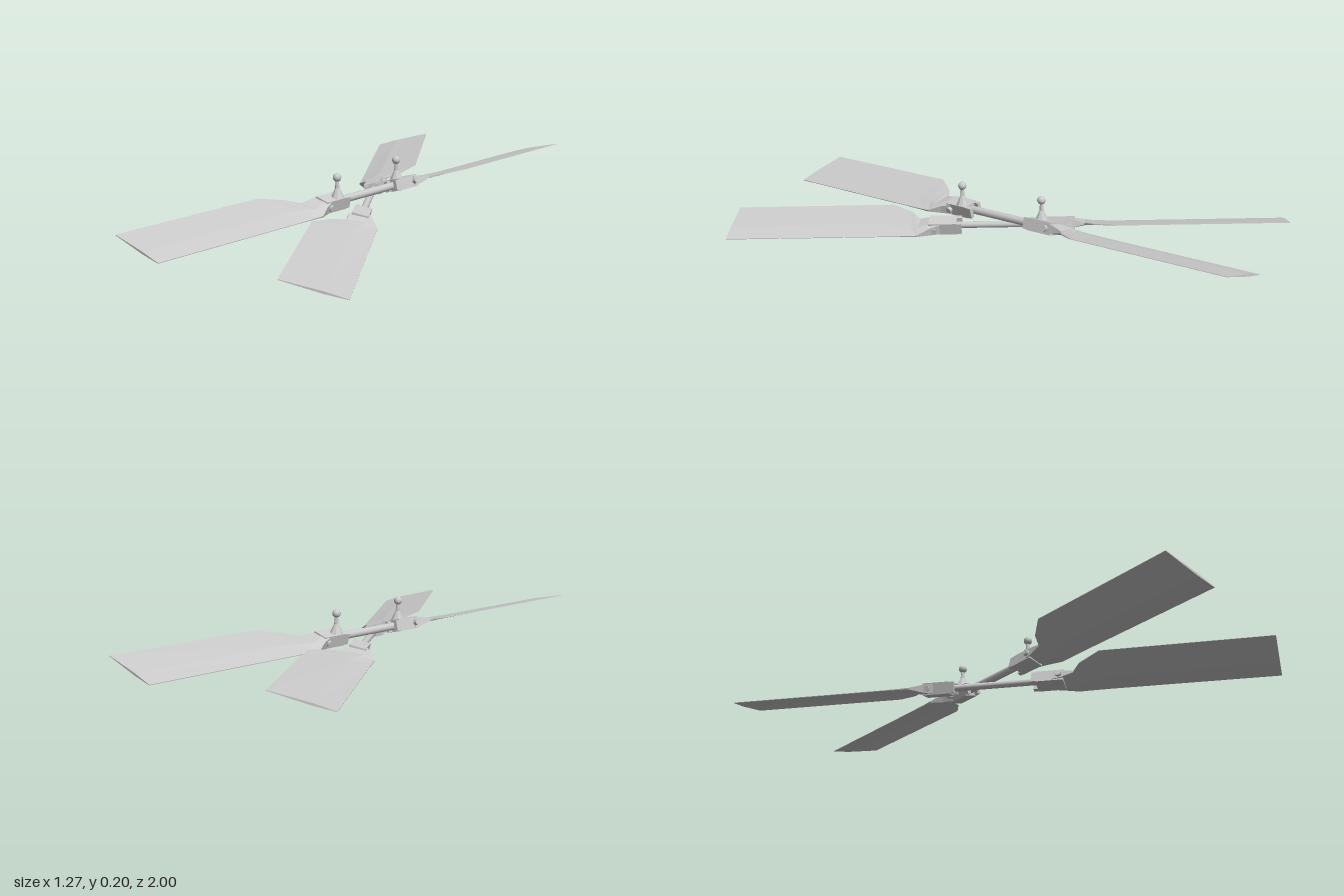
import * as THREE from 'three';

const grey = new THREE.MeshStandardMaterial({ color: 0xcccccc, flatShading: true });
const smooth = new THREE.MeshStandardMaterial({ color: 0xcccccc });

function add(parent, name, geometry, x = 0, y = 0, z = 0, material = grey) {
  const mesh = new THREE.Mesh(geometry, material);
  mesh.name = name;
  mesh.position.set(x, y, z);
  parent.add(mesh);
  return mesh;
}

// Blade lofted outward along z. Station: z, left x, right x, edge half thickness, middle half thickness
function bladeGeometry() {
  const stations = [
    [0.22, -0.031, 0.031, 0.019, 0.02],
    [0.255, -0.034, 0.045, 0.014, 0.018],
    [0.298, -0.04, 0.07, 0.003, 0.011],
    [0.33, -0.085, 0.07, 0.002, 0.008],
    [0.41, -0.14, 0.07, 0.001, 0.006],
    [0.995, -0.14, 0.07, 0.001, 0.004],
  ];
  const pos = [], index = [], n = 6;
  for (const [z, l, r, e, t] of stations) {
    const m = l + (r - l) * 0.65;
    pos.push(r, e, z, m, t, z, l, e, z, l, -e, z, m, -t, z, r, -e, z);
  }
  for (let s = 0; s < stations.length - 1; s++) {
    for (let i = 0; i < n; i++) {
      const a = s * n + i, b = s * n + (i + 1) % n;
      index.push(a, b, b + n, a, b + n, a + n);
    }
  }
  // End caps
  const last = (stations.length - 1) * n;
  for (let i = 1; i < n - 1; i++) {
    index.push(0, i + 1, i, last, last + i, last + i + 1);
  }
  const g = new THREE.BufferGeometry();
  g.setAttribute('position', new THREE.Float32BufferAttribute(pos, 3));
  g.setIndex(index);
  g.computeVertexNormals();
  return g;
}

// One blade with its grip, pivot bolt and optional control horn
function buildArm(gripStart, hasHorn) {
  const arm = new THREE.Group();
  arm.name = 'bladeArm';
  const pitched = new THREE.Group();
  pitched.name = 'pitchedBlade';
  pitched.rotation.z = -0.255;
  arm.add(pitched);
  add(pitched, 'blade', bladeGeometry());
  add(pitched, 'grip', new THREE.BoxGeometry(0.058, 0.044, 0.1), 0, 0, gripStart + 0.06);

  // Fork cheeks around the end of the rod
  for (const s of [-1, 1]) {
    add(pitched, 'forkCheek', new THREE.BoxGeometry(0.014, 0.04, 0.03), s * 0.022, 0, gripStart + 0.008);
  }
  const bolt = add(pitched, 'pivotBolt', new THREE.CylinderGeometry(0.011, 0.011, 0.084, 10), 0, 0, gripStart + 0.093);
  bolt.rotation.z = Math.PI / 2;

  if (hasHorn) {
    add(arm, 'hornBase', new THREE.CylinderGeometry(0.008, 0.025, 0.035, 8), 0.015, 0.033, 0.172);
    add(arm, 'hornStem', new THREE.CylinderGeometry(0.005, 0.008, 0.04, 8), 0.015, 0.066, 0.172);
    add(arm, 'hornBall', new THREE.SphereGeometry(0.015, 14, 10), 0.015, 0.088, 0.172, smooth);
  }
  return arm;
}

// Two opposite arms on a shared rod
function buildRotor(name, height, yaw, tilt, gripStart, rodRadius, hasHorn) {
  const rotor = new THREE.Group();
  rotor.name = name;
  rotor.position.y = height;
  rotor.rotation.set(tilt, yaw, 0, 'YXZ');
  const rod = add(rotor, 'rod', new THREE.CylinderGeometry(rodRadius, rodRadius, gripStart * 2 + 0.04, 12), 0, 0, 0, smooth);
  rod.rotation.x = Math.PI / 2;
  for (const turn of [0, Math.PI]) {
    const arm = buildArm(gripStart, hasHorn);
    arm.rotation.y = turn;
    rotor.add(arm);
  }
  // Tilt continues straight through the hub
  return rotor;
}

export function createModel() {
  const model = new THREE.Group();
  model.name = 'crossedRotor';
  model.add(buildRotor('lowerRotor', 0.071, 0.07, 0.0475, 0.15, 0.012, false));
  model.add(buildRotor('upperRotor', 0.1, -0.55, 0.03, 0.13, 0.014, true));
  return model;
}
